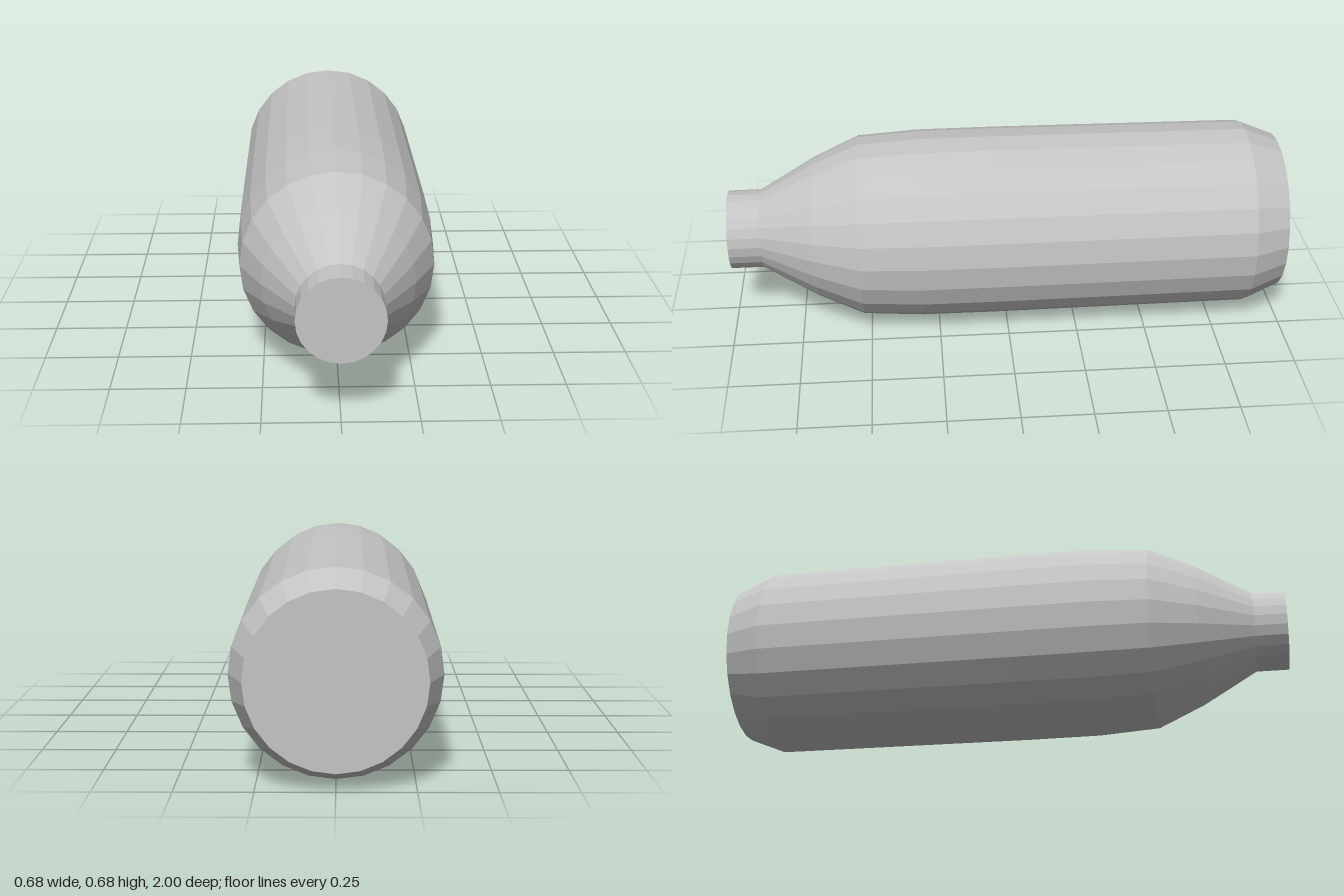
import * as THREE from 'three';

const SIDES = 24;
const AXIS_HEIGHT = 0.342;

// Faceted ring section along z from [radius, z] pairs, back to front
function section(name, profile, material) {
  const points = profile.map(([r, z]) => new THREE.Vector2(r, z));
  const geometry = new THREE.LatheGeometry(points, SIDES).rotateX(Math.PI / 2).toNonIndexed();
  geometry.computeVertexNormals();
  const mesh = new THREE.Mesh(geometry, material);
  mesh.name = name;
  return mesh;
}

// Flat end disc whose corners meet the rings
function endCap(name, radius, z, facing, material) {
  const geometry = new THREE.CircleGeometry(radius, SIDES);
  if (facing < 0) geometry.rotateY(Math.PI);
  const mesh = new THREE.Mesh(geometry, material);
  mesh.position.z = z;
  mesh.name = name;
  return mesh;
}

export function createModel() {
  const grey = new THREE.MeshStandardMaterial({ color: 0xc4c4c4 });
  grey.name = 'plain grey';

  const group = new THREE.Group();
  group.name = 'bottle';
  group.add(
    endCap('bottom', 0.285, -1, -1, grey),
    section('bottomBevel', [[0.285, -1], [0.336, -0.875]], grey),
    section('body', [[0.336, -0.875], [0.342, 0.05], [0.341, 0.31], [0.327, 0.525]], grey),
    section('shoulder', [[0.327, 0.525], [0.253, 0.69], [0.142, 0.885]], grey),
    section('neck', [[0.142, 0.885], [0.142, 1]], grey),
    endCap('neckEnd', 0.142, 1, 1, grey),
  );
  for (const part of group.children) part.position.y = AXIS_HEIGHT;
  return group;
}
